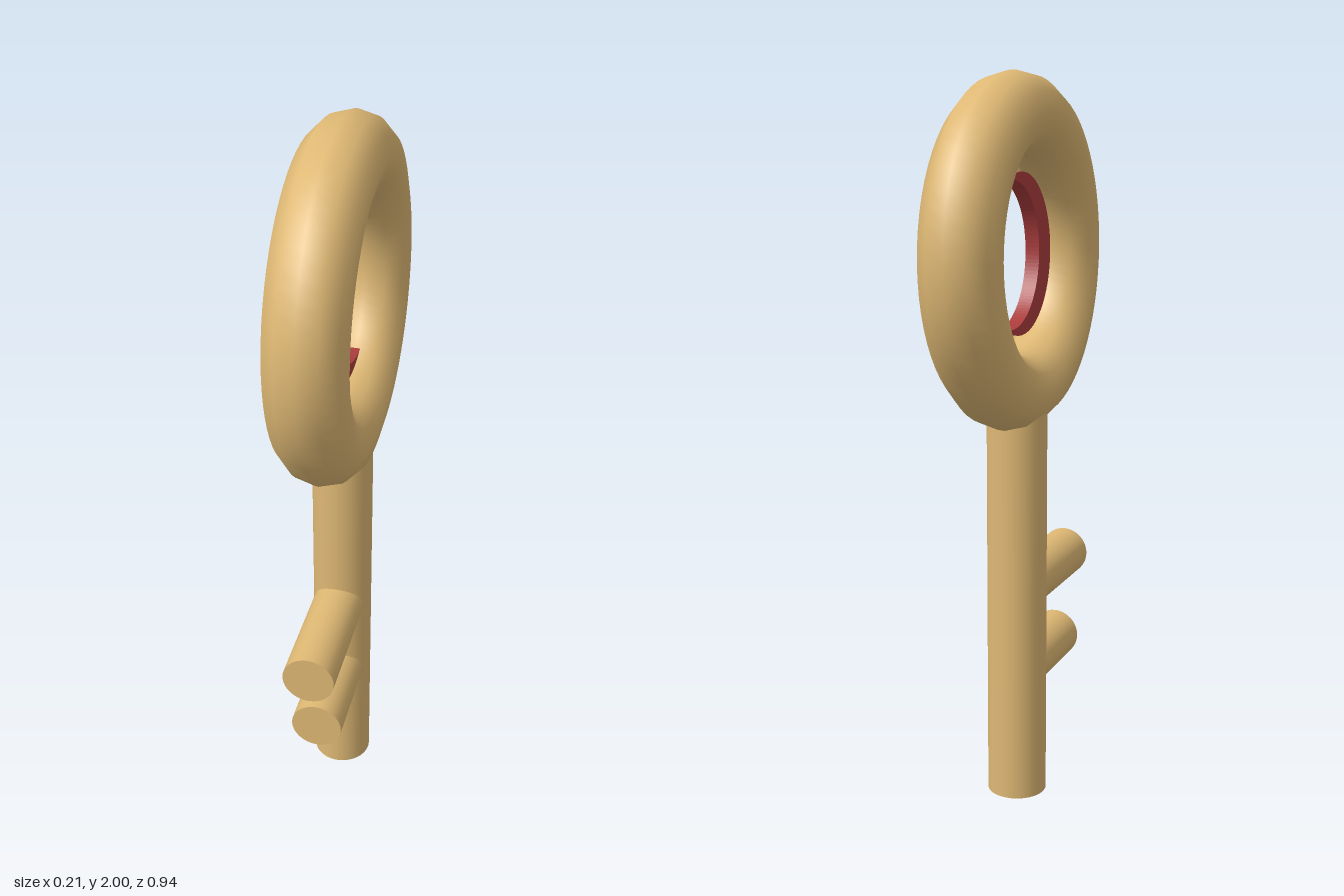
import * as THREE from 'three';

const gold = new THREE.MeshStandardMaterial({ color: 0xdeb874 });
const red = new THREE.MeshStandardMaterial({ color: 0xaa3c3c });
const RING_Y = 1.53;

function add(group, name, geometry, material) {
  const mesh = new THREE.Mesh(geometry, material);
  mesh.name = name;
  group.add(mesh);
  return mesh;
}

// Crescent outline: a large arc cut by a smaller, shifted one, meeting at two tips
function crescentGeometry(thickness) {
  const tip = new THREE.Vector2(-0.115, 0.19);
  const outer = -0.015, inner = -0.08;
  const arc = (cx) => [Math.hypot(tip.x - cx, tip.y), Math.atan2(tip.y, tip.x - cx)];
  const [ro, ao] = arc(outer);
  const [ri, ai] = arc(inner);
  const shape = new THREE.Shape();
  shape.absarc(outer, 0, ro, -ao, ao, false);
  shape.absarc(inner, 0, ri, ai, -ai, true);
  const geometry = new THREE.ExtrudeGeometry(shape, {
    depth: thickness, bevelEnabled: false, curveSegments: 32,
  });
  geometry.translate(0, 0, -thickness / 2);
  geometry.rotateY(-Math.PI / 2); // lay the outline in the ring's plane
  return geometry;
}

export function createModel() {
  const key = new THREE.Group();
  key.name = 'key';

  // Ring handle, standing in the YZ plane
  const ring = add(key, 'ringHandle', new THREE.TorusGeometry(0.367, 0.105, 12, 64), gold);
  ring.rotation.y = Math.PI / 2;
  ring.position.y = RING_Y;

  // Crescent floating inside the ring
  add(key, 'crescent', crescentGeometry(0.04), red).position.y = RING_Y;

  // Shaft, its top buried in the ring
  const shaftTop = 1.16;
  add(key, 'shaft', new THREE.CylinderGeometry(0.083, 0.083, shaftTop, 32), gold)
    .position.y = shaftTop / 2;

  // Two round teeth pointing forward
  for (const [name, y, length] of [['upperTooth', 0.6, 0.395], ['lowerTooth', 0.362, 0.316]]) {
    const tooth = add(key, name, new THREE.CylinderGeometry(0.071, 0.071, length, 32), gold);
    tooth.rotation.x = Math.PI / 2;
    tooth.position.set(0, y, length / 2);
  }

  return key;
}
